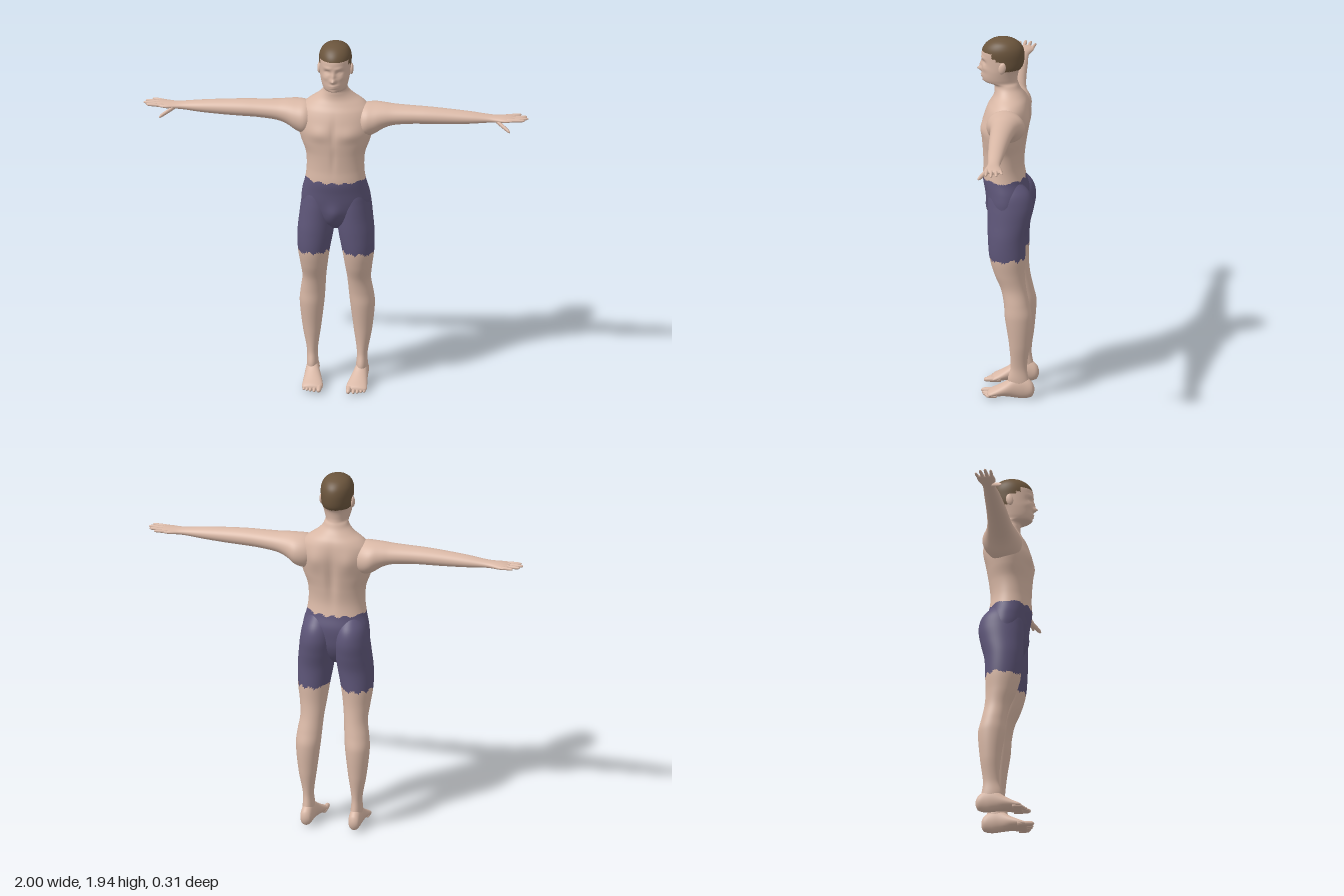
import * as THREE from 'three';

const skin = new THREE.MeshStandardMaterial({ color: 0xd9b8a6 });
skin.name = 'skin';
const hair = new THREE.MeshStandardMaterial({ color: 0x6a543c });
hair.name = 'hair';
const cloth = new THREE.MeshStandardMaterial({ color: 0x5e5679 });
cloth.name = 'shorts cloth';
const MATERIALS = [skin, hair, cloth];

// Smooth cross-section at t; each section is [t, aMin, aMax, bMin, bMax]
function sample(sections, i, u) {
  const at = (k) => sections[Math.min(Math.max(k, 0), sections.length - 1)];
  const p = at(i), q = at(i + 1), dt = q[0] - p[0];
  return p.map((v, c) => {
    if (c === 0) return v + dt * u;
    const m0 = (q[c] - at(i - 1)[c]) / (q[0] - at(i - 1)[0]) * dt;
    const m1 = (at(i + 2)[c] - v) / (at(i + 2)[0] - p[0]) * dt;
    const u2 = u * u, u3 = u2 * u;
    return (2 * u3 - 3 * u2 + 1) * v + (u3 - 2 * u2 + u) * m0 + (3 * u2 - 2 * u3) * q[c] + (u3 - u2) * m1;
  });
}

// Closed loft of ellipses: axis x uses (a,b) = (y,z), axis y (z,x), axis z (x,y)
function loft(axis, sections, step, sides) {
  const rings = [];
  for (let i = 0; i < sections.length - 1; i++) {
    const n = Math.max(2, Math.ceil((sections[i + 1][0] - sections[i][0]) / step));
    for (let k = 0; k < n; k++) rings.push(sample(sections, i, k / n));
  }
  rings.push(sections[sections.length - 1]);
  const pos = [], index = [], shift = 'xyz'.indexOf(axis);
  const put = (t, a, b) => {
    const v = [];
    [t, a, b].forEach((value, c) => { v[(c + shift) % 3] = value; });
    pos.push(...v);
  };
  for (const [t, a0, a1, b0, b1] of rings)
    for (let j = 0; j < sides; j++) {
      const th = j / sides * Math.PI * 2;
      put(t, (a0 + a1) / 2 + (a1 - a0) / 2 * Math.cos(th), (b0 + b1) / 2 + (b1 - b0) / 2 * Math.sin(th));
    }
  const last = rings.length - 1, start = rings.length * sides;
  for (const r of [rings[0], rings[last]]) put(r[0], (r[1] + r[2]) / 2, (r[3] + r[4]) / 2);
  for (let j = 0; j < sides; j++) {
    const k = (j + 1) % sides;
    for (let i = 0; i < last; i++) {
      const p = i * sides, q = p + sides;
      index.push(p + j, p + k, q + k, p + j, q + k, q + j);
    }
    index.push(start, k, j, start + 1, last * sides + j, last * sides + k);
  }
  const geo = new THREE.BufferGeometry();
  geo.setAttribute('position', new THREE.Float32BufferAttribute(pos, 3));
  geo.setIndex(index);
  geo.computeVertexNormals();
  return geo;
}

// Tapered digit from point p to point q along one axis, with a rounded tip
function digit(axis, p, q, r) {
  const order = { x: [0, 1, 2], z: [2, 0, 1] }[axis];
  const profile = [[0, 1], [0.5, 0.95], [0.85, 0.8], [0.96, 0.5], [1, 0.08]];
  return loft(axis, profile.map(([u, s]) => {
    const [t, a, b] = order.map((c) => p[c] + (q[c] - p[c]) * u);
    return [t, a - r * s, a + r * s, b - r * s, b + r * s];
  }), 0.02, 12);
}

// Sort triangles into material groups by a rule on their centre
function paint(geo, rule) {
  const idx = geo.index.array, p = geo.attributes.position, sets = [[], [], []];
  for (let i = 0; i < idx.length; i += 3) {
    const t = [idx[i], idx[i + 1], idx[i + 2]];
    const mid = (f) => (p[f](t[0]) + p[f](t[1]) + p[f](t[2])) / 3;
    sets[rule(mid('getX'), mid('getY'), mid('getZ'))].push(...t);
  }
  geo.setIndex(sets.flat());
  let from = 0;
  sets.forEach((s, m) => { if (s.length) geo.addGroup(from, s.length, m); from += s.length; });
  return geo;
}

function mirrored(geo) {
  const g = geo.clone().scale(-1, 1, 1), a = g.index.array;
  for (let i = 0; i < a.length; i += 3) [a[i], a[i + 1]] = [a[i + 1], a[i]];
  g.computeVertexNormals();
  return g;
}

// Soft relief: [side, x, y, width, height, amount]
const RELIEF = [
  [1, 0, 1.79, 0.010, 0.022, 0.012], [1, 0, 1.767, 0.013, 0.011, 0.022],      // nose
  [1, 0.032, 1.812, 0.016, 0.010, -0.013], [1, 0.03, 1.836, 0.022, 0.008, 0.005], // eye, brow
  [1, 0.032, 1.81, 0.009, 0.005, 0.006], [1, 0.045, 1.78, 0.018, 0.014, 0.005], // lid, cheek
  [1, 0, 1.738, 0.02, 0.005, 0.007], [1, 0, 1.726, 0.018, 0.004, 0.006],      // lips
  [1, 0, 1.703, 0.018, 0.009, 0.006],                                         // chin
  [1, 0.08, 1.46, 0.055, 0.04, 0.010], [1, 0, 1.47, 0.015, 0.06, -0.008],     // chest
  [1, 0, 1.32, 0.012, 0.07, -0.005], [1, 0, 1.0, 0.04, 0.05, 0.018],          // belly, pelvis
  [-1, 0, 1.4, 0.025, 0.13, -0.016], [-1, 0.09, 1.5, 0.045, 0.06, 0.012],     // spine, blades
];
function sculpt(geo) {
  const p = geo.attributes.position;
  for (let i = 0; i < p.count; i++) {
    const x = Math.abs(p.getX(i)), y = p.getY(i), z = p.getZ(i);
    for (const [side, bx, by, w, h, amount] of RELIEF)
      if (side * (z - 0.01) > 0)
        p.setZ(i, p.getZ(i) + side * amount * Math.exp(-(((x - bx) / w) ** 2) - ((y - by) / h) ** 2));
  }
  geo.computeVertexNormals();
  return geo;
}

// Trunk, neck and head as [y, back, front, halfWidth]
const BODY = [
  [0.90, -0.03, 0.03, 0.03], [0.94, -0.07, 0.07, 0.09], [1.00, -0.10, 0.09, 0.165],
  [1.06, -0.112, 0.105, 0.178], [1.12, -0.115, 0.115, 0.172], [1.18, -0.10, 0.125, 0.157],
  [1.25, -0.09, 0.122, 0.149], [1.33, -0.097, 0.125, 0.154], [1.40, -0.107, 0.13, 0.178],
  [1.46, -0.115, 0.13, 0.193], [1.52, -0.12, 0.118, 0.193], [1.57, -0.117, 0.10, 0.178],
  [1.605, -0.108, 0.08, 0.145], [1.635, -0.09, 0.067, 0.102], [1.665, -0.07, 0.065, 0.072],
  [1.69, -0.06, 0.073, 0.061], [1.70, -0.056, 0.115, 0.06], [1.72, -0.054, 0.128, 0.066],
  [1.76, -0.062, 0.13, 0.075], [1.79, -0.082, 0.13, 0.08], [1.83, -0.09, 0.132, 0.083],
  [1.87, -0.088, 0.13, 0.084], [1.90, -0.075, 0.115, 0.076], [1.925, -0.045, 0.085, 0.056],
  [1.938, -0.005, 0.05, 0.025], [1.94, 0.02, 0.03, 0.004],
].map(([y, b, f, w]) => [y, b, f, -w, w]);

// Leg as [y, back, front, inner, outer]
const LEG = [
  [0.04, -0.138, -0.03, 0.1, 0.155], [0.10, -0.125, -0.015, 0.098, 0.158],
  [0.17, -0.115, -0.03, 0.102, 0.157], [0.30, -0.13, -0.022, 0.085, 0.18],
  [0.45, -0.14, 0, 0.067, 0.195], [0.52, -0.126, 0.005, 0.061, 0.189],
  [0.60, -0.11, 0.022, 0.055, 0.178], [0.68, -0.102, 0.055, 0.045, 0.186],
  [0.77, -0.105, 0.08, 0.032, 0.198], [0.88, -0.11, 0.09, 0.012, 0.199],
  [0.97, -0.13, 0.092, 0.002, 0.19], [1.05, -0.142, 0.092, 0, 0.18],
  [1.12, -0.125, 0.085, 0.01, 0.165], [1.18, -0.07, 0.05, 0.04, 0.13],
];

// Arm and palm as [x, bottom, top, back, front]
const ARM = [
  [0.10, 1.45, 1.57, -0.07, 0.05], [0.15, 1.42, 1.594, -0.10, 0.09],
  [0.20, 1.432, 1.598, -0.11, 0.085], [0.25, 1.465, 1.597, -0.09, 0.07],
  [0.30, 1.485, 1.593, -0.075, 0.06], [0.40, 1.497, 1.59, -0.062, 0.053],
  [0.48, 1.50, 1.588, -0.056, 0.05], [0.58, 1.503, 1.582, -0.05, 0.044],
  [0.70, 1.51, 1.572, -0.044, 0.036], [0.80, 1.52, 1.56, -0.038, 0.026],
  [0.84, 1.522, 1.557, -0.042, 0.029], [0.88, 1.524, 1.556, -0.055, 0.036],
  [0.915, 1.53, 1.553, -0.058, 0.032], [0.93, 1.534, 1.549, -0.052, 0.024],
];

// Foot as [z, inner, outer, bottom, top]
const FOOT = [
  [-0.152, 0.118, 0.14, 0.035, 0.065], [-0.142, 0.102, 0.155, 0.014, 0.09],
  [-0.10, 0.095, 0.16, 0.001, 0.12], [-0.05, 0.09, 0.162, 0.004, 0.12],
  [0, 0.075, 0.165, 0.008, 0.085], [0.05, 0.062, 0.168, 0.005, 0.055],
  [0.078, 0.061, 0.168, 0.003, 0.04], [0.09, 0.068, 0.155, 0.008, 0.03],
];

export function createModel() {
  const model = new THREE.Group();
  model.name = 'standingMan';
  const add = (name, geo, material = skin) => {
    const mesh = new THREE.Mesh(geo, material);
    mesh.name = name;
    model.add(mesh);
  };
  const addPair = (name, geo, material) => {
    add('left' + name, geo, material);
    add('right' + name, mirrored(geo), material);
  };

  // Trunk and head, with painted hair and waistband
  const hairline = (z) => (z > 0.075 ? 1.87 : z > 0.05 ? 1.845 : z > 0.008 ? 1.83 : 1.775);
  add('trunkAndHead', paint(sculpt(loft('y', BODY, 0.0065, 80)), (x, y, z) =>
    y > 1.7 && y > hairline(z) ? 1 : y < 1.188 + 0.006 * Math.sin(95 * x + 2) ? 2 : 0), MATERIALS);

  // Ears
  addPair('Ear', new THREE.SphereGeometry(1, 20, 14).scale(0.011, 0.031, 0.019).rotateX(-0.2).translate(0.083, 1.797, 0.018));

  // Legs with painted shorts
  addPair('Leg', paint(loft('y', LEG, 0.012, 48), (x, y, z) =>
    (y > 0.772 + 0.007 * Math.sin(120 * x + 60 * z) ? 2 : 0)), MATERIALS);

  // Feet and toes
  addPair('Foot', loft('z', FOOT, 0.012, 32));
  [[0.077, 0.128, 0.015], [0.102, 0.122, 0.0105], [0.122, 0.114, 0.01], [0.14, 0.105, 0.0095], [0.156, 0.096, 0.009]]
    .forEach(([x, tip, r], i) => addPair('Toe' + (i + 1), digit('z', [x, r + 0.008, 0.04], [x, r + 0.005, tip], r)));

  // Arms, fingers and thumbs
  addPair('Arm', loft('x', ARM, 0.015, 40));
  [[-0.045, 0.958, -0.06, 0.0085], [-0.023, 0.99, -0.034, 0.0095], [-0.001, 1, -0.007, 0.01], [0.02, 0.985, 0.021, 0.0095]]
    .forEach(([z, tip, tipZ, r], i) => addPair('Finger' + (i + 1), digit('x', [0.89, 1.542, z], [tip, 1.546, tipZ], r)));
  addPair('Thumb', digit('x', [0.835, 1.535, 0.012], [0.912, 1.496, 0.066], 0.0125));

  return model;
}
